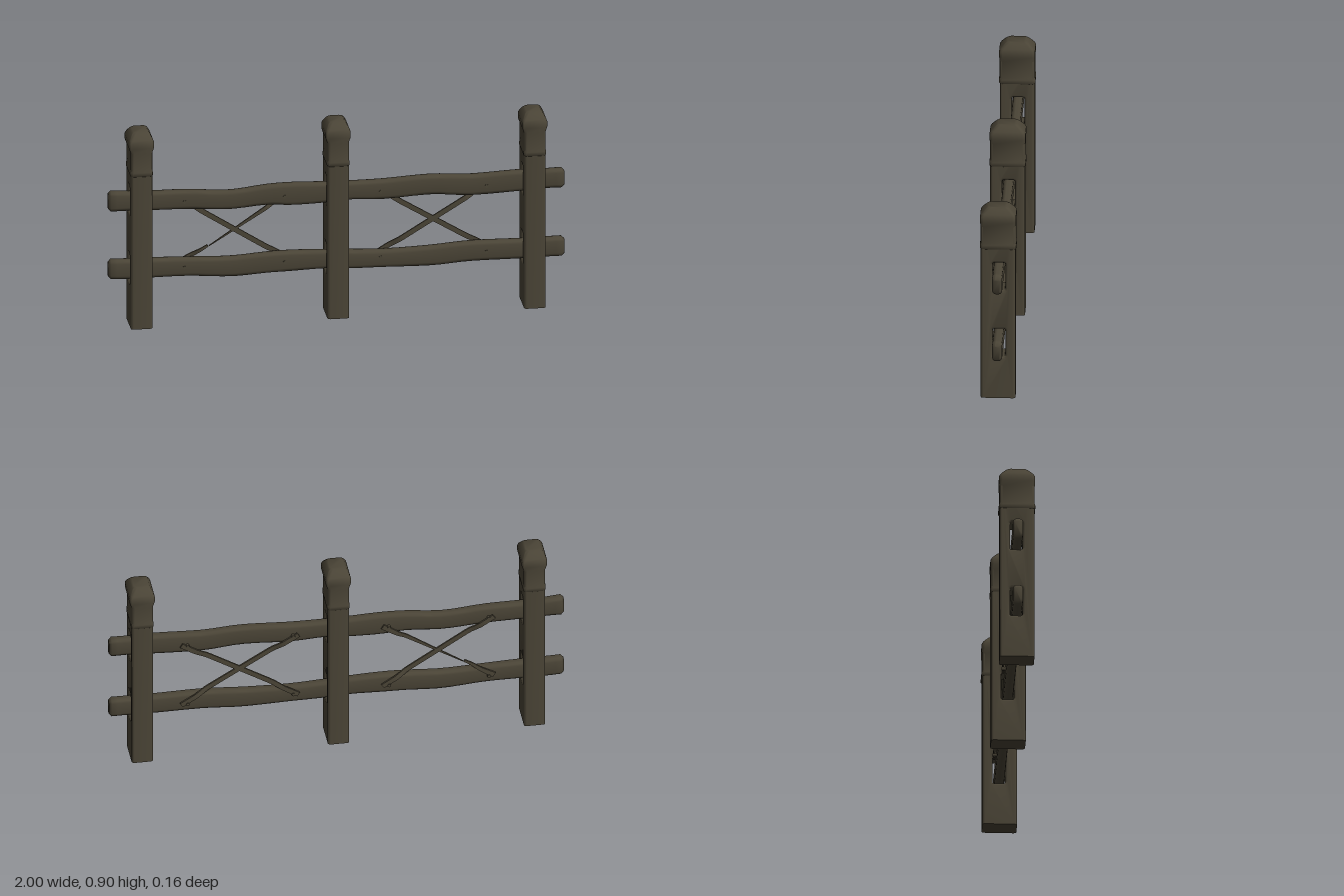
import * as THREE from 'three';
import { toCreasedNormals } from 'three/addons/utils/BufferGeometryUtils.js';

const wood = new THREE.MeshStandardMaterial({ color: 0x4a4436 });
wood.name = 'weathered wood';

function part(name, geometry, parent) {
  const mesh = new THREE.Mesh(geometry, wood);
  mesh.name = name;
  parent.add(mesh);
  return mesh;
}

// Skin a list of equal-length rings and close both ends
function loft(rings) {
  const n = rings[0].length;
  const pos = rings.flat().flatMap((p) => [p.x, p.y, p.z]);
  const index = [];
  for (let i = 0; i < rings.length - 1; i++) {
    for (let j = 0; j < n; j++) {
      const a = i * n + j, b = i * n + (j + 1) % n;
      index.push(a, b, b + n, a, b + n, a + n);
    }
  }
  const last = (rings.length - 1) * n;
  for (let j = 1; j < n - 1; j++) {
    index.push(0, j + 1, j, last, last + j, last + j + 1);
  }
  const g = new THREE.BufferGeometry();
  g.setAttribute('position', new THREE.Float32BufferAttribute(pos, 3));
  g.setIndex(index);
  return toCreasedNormals(g, 1);
}

// Rounded rectangle outline, counter-clockwise, with half sizes a and b
function roundedOutline(a, b, r, steps = 3) {
  const pts = [];
  const corners = [[1, 1], [-1, 1], [-1, -1], [1, -1]];
  corners.forEach(([sx, sy], k) => {
    for (let i = 0; i <= steps; i++) {
      const t = (k + i / steps) * Math.PI / 2;
      pts.push([sx * (a - r) + Math.cos(t) * r, sy * (b - r) + Math.sin(t) * r]);
    }
  });
  return pts;
}

// Vertical stack of rounded sections: [y, half width, half depth]
function stack(sections, r) {
  return loft(sections.map(([y, a, b]) =>
    roundedOutline(a, b, r).map(([u, v]) => new THREE.Vector3(u, y, -v))));
}

// Post body with two mortise holes running through along x
function postGeometry() {
  const bevel = 0.011, hz = 0.0755 - bevel;
  const shape = new THREE.Shape([
    [-hz, bevel], [hz, bevel], [hz, 0.82], [-hz, 0.82],
  ].map(([x, y]) => new THREE.Vector2(x, y)));
  for (const [y0, y1] of [[0.197, 0.328], [0.513, 0.643]]) {
    const outline = roundedOutline(0.0275 + bevel, (y1 - y0) / 2 + bevel, 0.018);
    shape.holes.push(new THREE.Path(outline.map(([u, v]) =>
      new THREE.Vector2(u + 0.004, v + (y0 + y1) / 2)).reverse()));
  }
  const depth = 0.094 - 2 * bevel;
  const g = new THREE.ExtrudeGeometry(shape, {
    depth, bevelEnabled: true, bevelSize: bevel, bevelThickness: bevel, bevelSegments: 3,
  });
  g.translate(0, 0, -depth / 2);
  g.rotateY(Math.PI / 2);
  // Saw the foot off square
  const p = g.attributes.position;
  for (let i = 0; i < p.count; i++) if (p.getY(i) < 0.02) p.setY(i, 0);
  return toCreasedNormals(g, 0.6);
}

// Hand-hewn rail from [x, bottom, top] stations
function railGeometry(stations) {
  const bottom = new THREE.CatmullRomCurve3(stations.map(([x, y]) => new THREE.Vector3(x, y, 0)));
  const top = new THREE.CatmullRomCurve3(stations.map(([x, , y]) => new THREE.Vector3(x, y, 0)));
  const rings = [];
  const ring = (x, lo, hi, hz, r) => rings.push(roundedOutline(hz, (hi - lo) / 2, r)
    .map(([u, v]) => new THREE.Vector3(x, (lo + hi) / 2 + v, -u)));
  const N = 48;
  for (let i = 0; i <= N; i++) {
    const lo = bottom.getPoint(i / N), hi = top.getPoint(i / N);
    if (i === 0) ring(-1, lo.y + 0.012, hi.y - 0.012, 0.013, 0.01);
    ring(lo.x, lo.y, hi.y, 0.022, 0.018);
    if (i === N) ring(1, lo.y + 0.012, hi.y - 0.012, 0.013, 0.01);
  }
  return loft(rings);
}

// Flat brace between two points, with its width at each end;
// it lies behind the rails and bends forward in the gap between them
function brace(name, [x0, y0], [x1, y1], w0, w1, parent) {
  const length = Math.hypot(x1 - x0, y1 - y0);
  const g = new THREE.BoxGeometry(length, 1, 0.008, 24, 1, 1);
  const p = g.attributes.position;
  for (let i = 0; i < p.count; i++) {
    const t = p.getX(i) / length + 0.5;
    const y = THREE.MathUtils.lerp(y0, y1, t);
    const bend = 1 - THREE.MathUtils.smoothstep(Math.abs(y - 0.409), 0.085, 0.12);
    p.setY(i, p.getY(i) * THREE.MathUtils.lerp(w0, w1, t));
    p.setZ(i, p.getZ(i) - 0.031 + 0.014 * bend);
  }
  g.computeVertexNormals();
  const mesh = part(name, g, parent);
  mesh.position.set((x0 + x1) / 2, (y0 + y1) / 2, 0);
  mesh.rotation.z = Math.atan2(y1 - y0, x1 - x0);
}

export function createModel() {
  const model = new THREE.Group();
  model.name = 'fence';

  // Three posts, each with a slightly proud, chamfered head
  const body = postGeometry();
  const head = stack([
    [0.706, 0.045, 0.073], [0.711, 0.049, 0.079], [0.727, 0.049, 0.079], [0.736, 0.0475, 0.0765],
    [0.815, 0.0475, 0.0765], [0.838, 0.055, 0.078], [0.863, 0.055, 0.078],
    [0.874, 0.051, 0.072], [0.896, 0.039, 0.051], [0.903, 0.032, 0.042],
  ], 0.014);
  for (const x of [-0.862, 0, 0.862]) {
    const post = new THREE.Group();
    post.name = 'post';
    post.position.x = x;
    part('postBody', body, post);
    part('postHead', head, post);
    model.add(post);
  }

  // Two wavy rails passing through the posts
  part('topRail', railGeometry([
    [-0.988, 0.528, 0.622], [-0.9, 0.528, 0.615], [-0.8, 0.525, 0.612], [-0.65, 0.522, 0.61],
    [-0.47, 0.511, 0.597], [-0.3, 0.522, 0.614], [-0.2, 0.515, 0.617], [-0.05, 0.518, 0.612],
    [0.05, 0.526, 0.61], [0.2, 0.52, 0.611], [0.42, 0.53, 0.621], [0.58, 0.517, 0.612],
    [0.8, 0.524, 0.62], [0.9, 0.53, 0.618], [0.988, 0.53, 0.62],
  ]), model);
  part('bottomRail', railGeometry([
    [-0.988, 0.214, 0.304], [-0.9, 0.211, 0.302], [-0.8, 0.212, 0.301], [-0.65, 0.211, 0.296],
    [-0.46, 0.198, 0.29], [-0.3, 0.206, 0.3], [-0.2, 0.208, 0.302], [-0.05, 0.212, 0.297],
    [0.05, 0.206, 0.292], [0.2, 0.204, 0.285], [0.42, 0.2, 0.291], [0.58, 0.21, 0.302],
    [0.8, 0.21, 0.3], [0.9, 0.212, 0.301], [0.988, 0.212, 0.302],
  ]), model);

  // Crossed braces; one is split near its lower end
  brace('brace', [-0.69, 0.566], [-0.2, 0.252], 0.022, 0.022, model);
  brace('splitBrace', [-0.555, 0.336], [-0.2, 0.566], 0.002, 0.024, model);
  brace('splitBraceStub', [-0.69, 0.258], [-0.56, 0.338], 0.026, 0.01, model);
  brace('brace', [0.17, 0.566], [0.685, 0.252], 0.022, 0.022, model);
  brace('brace', [0.17, 0.252], [0.685, 0.566], 0.022, 0.022, model);

  // Pegs through rails and braces
  const peg = new THREE.CylinderGeometry(0.008, 0.008, 0.062, 8).rotateX(Math.PI / 2);
  for (const x of [-0.667, -0.228, 0.193, 0.657]) {
    for (const y of [0.255, 0.56]) {
      part('peg', peg, model).position.set(x, y, -0.007);
    }
  }
  return model;
}
